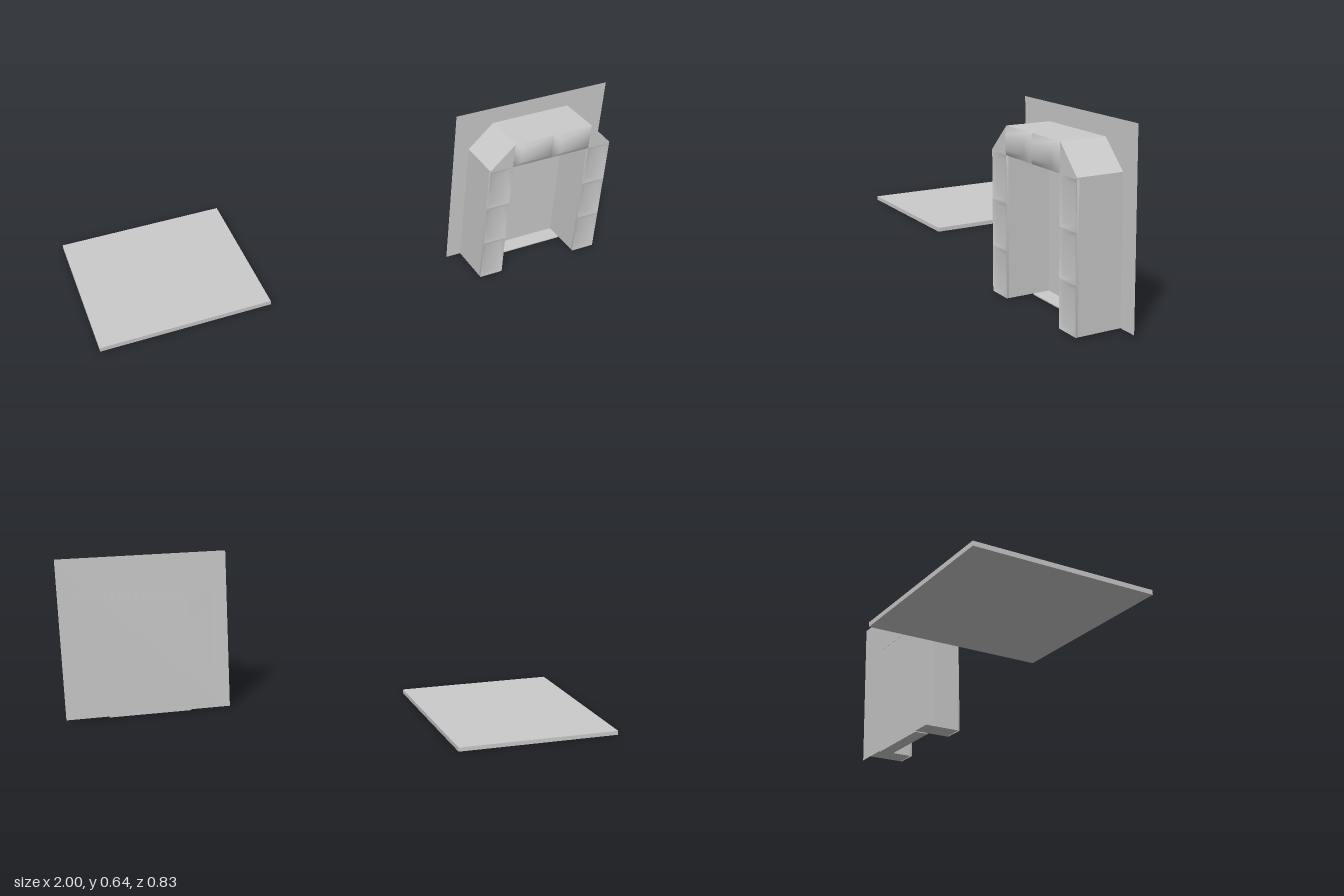
import * as THREE from 'three';

const WALL_Z = 0.24, FRONT_Z = 0.4, BASE = 0.007;
const IN_L = 0.515, IN_R = 0.835, OUT_L = 0.422, OUT_R = 0.928;
const SPRING = 0.484, TOP = 0.58;

export function createModel() {
  const group = new THREE.Group();
  const material = new THREE.MeshStandardMaterial({ color: 0xcccccc, flatShading: true });
  const doubleSided = new THREE.MeshStandardMaterial({ color: 0xcccccc, side: THREE.DoubleSide });

  const add = (name, geometry, mat = material) => {
    const mesh = new THREE.Mesh(geometry, mat);
    mesh.name = name;
    group.add(mesh);
    return mesh;
  };
  const addBox = (name, x0, x1, y0, y1, z0, z1) =>
    add(name, new THREE.BoxGeometry(x1 - x0, y1 - y0, z1 - z0))
      .position.set((x0 + x1) / 2, (y0 + y1) / 2, (z0 + z1) / 2);

  // Front face of a stone block: a rim around a raised or sunken middle
  const addStoneFace = (name, x0, x1, y0, y1, inset, depth) => {
    const ring = (i, z) => [x0 + i, y0 + i, z, x1 - i, y0 + i, z, x1 - i, y1 - i, z, x0 + i, y1 - i, z];
    const index = [4, 5, 6, 4, 6, 7];
    for (let i = 0; i < 4; i++) {
      const j = (i + 1) % 4;
      index.push(i, j, 4 + j, i, 4 + j, 4 + i);
    }
    const g = new THREE.BufferGeometry();
    g.setAttribute('position', new THREE.Float32BufferAttribute(
      [...ring(0, FRONT_Z), ...ring(inset, FRONT_Z + depth)], 3));
    g.setIndex(index);
    g.computeVertexNormals();
    add(name, g, doubleSided);
  };

  // Floor slab lying apart from the doorway
  addBox('floorSlab', -1, -0.363, 0, 0.016, -0.416, 0.224);

  // Thin wall behind the arch
  const wall = add('backWall', new THREE.PlaneGeometry(0.638, 0.636), doubleSided);
  wall.position.set(0.68, BASE + 0.318, WALL_Z);

  // Low sill between the pillars
  addBox('sill', IN_L, IN_R, 0.003, BASE, WALL_Z, 0.3);

  // Pillars, whose fronts are three shallow dished stones
  const pillars = [['right', OUT_L, IN_L], ['left', IN_R, OUT_R]];
  const step = (SPRING - BASE) / 3;
  for (const [side, x0, x1] of pillars) {
    addBox(side + 'Pillar', x0, x1, BASE, SPRING, WALL_Z, FRONT_Z - 0.008);
    // Rim of the pillar in front of the dished faces
    const rim = new THREE.CylinderGeometry(Math.SQRT1_2, Math.SQRT1_2, 1, 4, 1, true);
    rim.rotateY(Math.PI / 4).rotateX(Math.PI / 2).scale(x1 - x0, SPRING - BASE, 0.008);
    add(side + 'PillarRim', rim, doubleSided)
      .position.set((x0 + x1) / 2, (BASE + SPRING) / 2, FRONT_Z - 0.004);
    for (let i = 0; i < 3; i++) {
      addStoneFace(side + 'PillarStone', x0, x1, BASE + i * step, BASE + (i + 1) * step, 0.018, -0.006);
    }
  }

  // Lintel with sloping corner stones, reaching just through the wall
  const outline = new THREE.Shape([
    [OUT_L, SPRING], [OUT_R, SPRING], [OUT_R, SPRING + 0.005], [IN_R + 0.002, TOP],
    [IN_L + 0.002, TOP], [OUT_L, SPRING + 0.005],
  ].map(([x, y]) => new THREE.Vector2(x, y)));
  const lintel = new THREE.ExtrudeGeometry(outline, { depth: FRONT_Z - WALL_Z, bevelEnabled: false });
  add('lintel', lintel).position.z = WALL_Z;
  addBox('lintelBackEdge', IN_L, IN_R, SPRING, SPRING + 0.004, WALL_Z - 0.001, WALL_Z + 0.01);

  // Two raised stones on the front of the lintel
  const middle = (IN_L + IN_R) / 2;
  addStoneFace('lintelStone', IN_L, middle, SPRING, TOP, 0.023, 0.016);
  addStoneFace('lintelStone', middle, IN_R, SPRING, TOP, 0.023, 0.016);

  return group;
}
